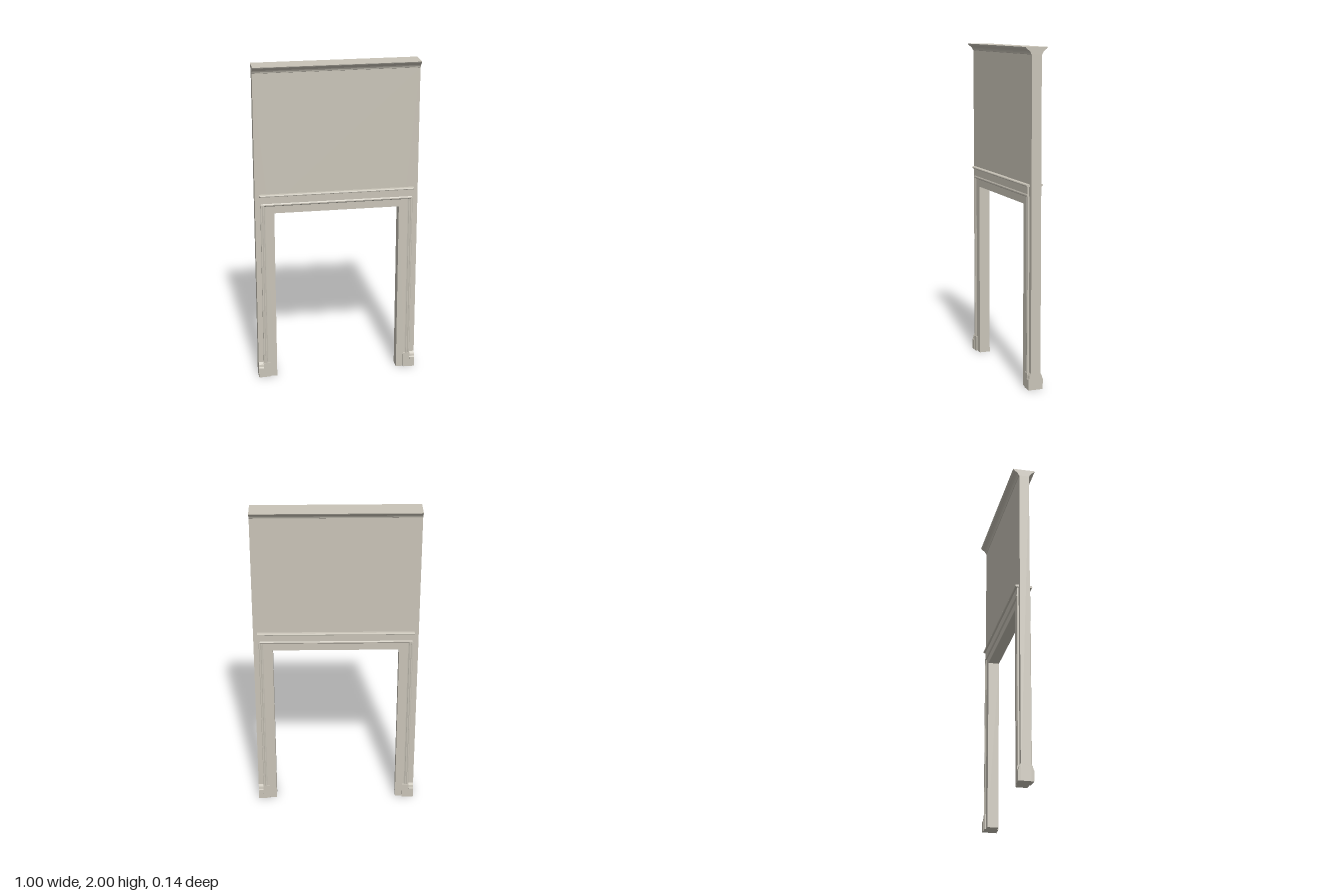
import * as THREE from 'three';

const paint = new THREE.MeshStandardMaterial({ color: 0xc9c4b8 });
paint.name = 'warm grey paint';

const shapeOf = (pts) => new THREE.Shape(pts.map(([a, b]) => new THREE.Vector2(a, b)));
const extrude = (pts, depth) =>
  new THREE.ExtrudeGeometry(shapeOf(pts), { depth, bevelEnabled: false });

// Mirrors a half profile of [offset, z] or [z, offset] pairs to the back face
const mirrorZ = (half, axis) =>
  half.concat(half.slice().reverse().map((p) => p.map((v, i) => (i === axis ? -v : v))));

// Section of [z, y] points swept along x
const alongX = (half, x0, x1) =>
  extrude(mirrorZ(half, 0), x1 - x0).rotateY(Math.PI / 2).translate(x0, 0, 0);

// Section of [x, z] points swept up y
const alongY = (half, side, y0, y1) =>
  extrude(mirrorZ(half, 1).map(([x, z]) => [x * side, z]), y1 - y0)
    .rotateX(-Math.PI / 2).translate(0, y0, 0);

// Upside-down U outline swept through the thickness
const portal = (outer, inner, top, head, halfDepth) =>
  extrude([
    [-outer, 0], [-inner, 0], [-inner, head], [inner, head],
    [inner, 0], [outer, 0], [outer, top], [-outer, top],
  ], halfDepth * 2).translate(0, 0, -halfDepth);

export function createModel() {
  const group = new THREE.Group();
  const add = (name, geometry) => {
    const mesh = new THREE.Mesh(geometry, paint);
    mesh.name = name;
    group.add(mesh);
  };

  // Wall panel, and the flat casing that lines its doorway
  add('wall', portal(0.5, 0.42, 1.957, 1.12, 0.03));
  add('doorCasing', portal(0.445, 0.384, 1.145, 1.094, 0.034));

  // Crown moulding on both faces, flush with the wall ends
  add('crownMoulding', alongX([
    [0.03, 1.957], [0.034, 1.959], [0.036, 1.966], [0.042, 1.975],
    [0.051, 1.983], [0.06, 1.989], [0.066, 1.996], [0.068, 2],
  ], -0.5, 0.5));

  // Frieze board over the door with a small lip at its foot
  add('headFrieze', alongX([
    [0.036, 1.14], [0.042, 1.146], [0.042, 1.152], [0.039, 1.158], [0.039, 1.203],
  ], -0.463, 0.463));

  // Rounded ledge capping the frieze
  add('headLedge', alongX([
    [0.044, 1.202], [0.049, 1.204], [0.051, 1.209], [0.049, 1.214], [0.044, 1.216],
  ], -0.474, 0.474));

  for (const side of [1, -1]) {
    const hand = side > 0 ? 'left' : 'right';

    // Stepped backband along the outer edge of the casing
    add(hand + 'Backband', alongY([
      [0.438, 0.034], [0.443, 0.036], [0.447, 0.04], [0.452, 0.041],
      [0.456, 0.038], [0.459, 0.041], [0.465, 0.041], [0.468, 0.038],
    ], side, 0.09, 1.145));

    // Plinth block below the backband
    add(hand + 'Plinth', alongY([[0.428, 0.043], [0.469, 0.043]], side, 0, 0.096));

    // Baseboard return between the plinth and the wall end
    const [a, b] = side > 0 ? [0.469, 0.5] : [-0.5, -0.469];
    add(hand + 'Baseboard', alongX([
      [0.045, 0], [0.045, 0.062], [0.041, 0.07], [0.038, 0.085], [0.03, 0.1],
    ], a, b));
  }
  return group;
}
